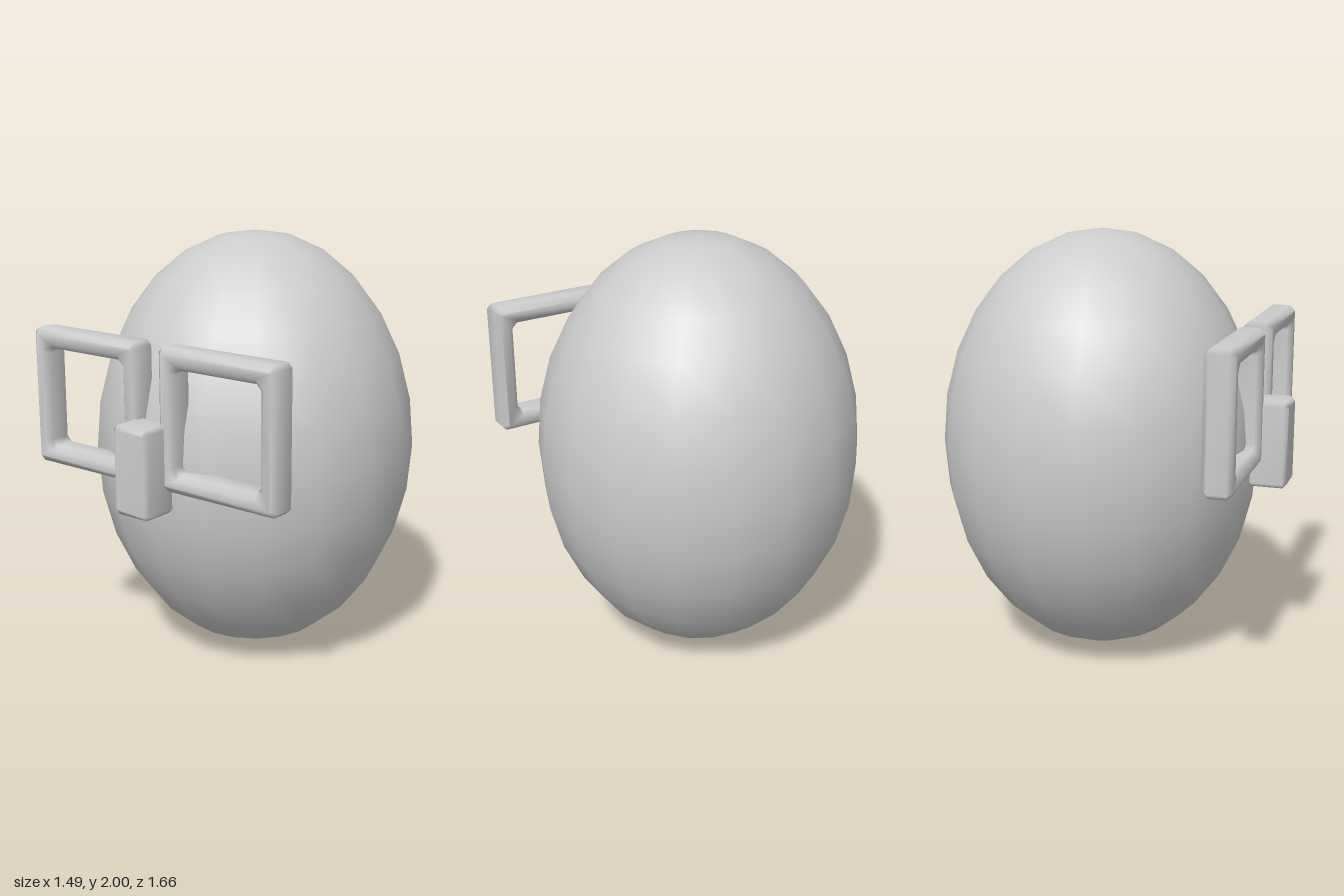
import * as THREE from 'three';
import { mergeVertices } from 'three/addons/utils/BufferGeometryUtils.js';

// Rectangle outline with cut corners
function cutRect(target, w, h, cut) {
  const x = w / 2, y = h / 2;
  const corners = [
    [x - cut, -y], [x, -y + cut], [x, y - cut], [x - cut, y],
    [-x + cut, y], [-x, y - cut], [-x, -y + cut], [-x + cut, -y],
  ];
  return target.setFromPoints(corners.map(([a, b]) => new THREE.Vector2(a, b)));
}

// Chamfered slab centred on the origin, smoothed across its edges
function slab(shape, depth, bevel) {
  const geometry = new THREE.ExtrudeGeometry(shape, {
    depth: depth - 2 * bevel, bevelEnabled: true, bevelSegments: 1,
    bevelSize: bevel, bevelThickness: bevel, bevelOffset: -bevel,
  });
  geometry.translate(0, 0, bevel - depth / 2);
  geometry.deleteAttribute('normal');
  geometry.deleteAttribute('uv');
  const smooth = mergeVertices(geometry, 1e-4);
  smooth.computeVertexNormals();
  return smooth;
}

export function createModel() {
  const group = new THREE.Group();
  const grey = new THREE.MeshStandardMaterial({ color: 0xcccccc });
  grey.name = 'light grey';

  const add = (name, geometry, x, y, z) => {
    const mesh = new THREE.Mesh(geometry, grey);
    mesh.name = name;
    mesh.position.set(x, y, z);
    group.add(mesh);
    return mesh;
  };

  // Egg-shaped head
  const egg = new THREE.SphereGeometry(1, 18, 14);
  egg.rotateY(Math.PI / 2);
  egg.scale(0.755, 1, 0.755);
  // normals follow the squashed shape
  add('head', egg, 0, 1, -0.075);

  // Square spectacle frames
  const outline = cutRect(new THREE.Shape(), 0.63, 0.63, 0.022);
  outline.holes.push(cutRect(new THREE.Path(), 0.455, 0.455, 0.025));
  const frame = slab(outline, 0.135, 0.025);
  add('rightFrame', frame, -0.355, 1.268, 0.645);
  add('leftFrame', frame, 0.395, 1.268, 0.645);

  // Block nose
  const nose = slab(cutRect(new THREE.Shape(), 0.195, 0.4, 0.018), 0.18, 0.018);
  add('nose', nose, 0.024, 1.047, 0.738);

  return group;
}
